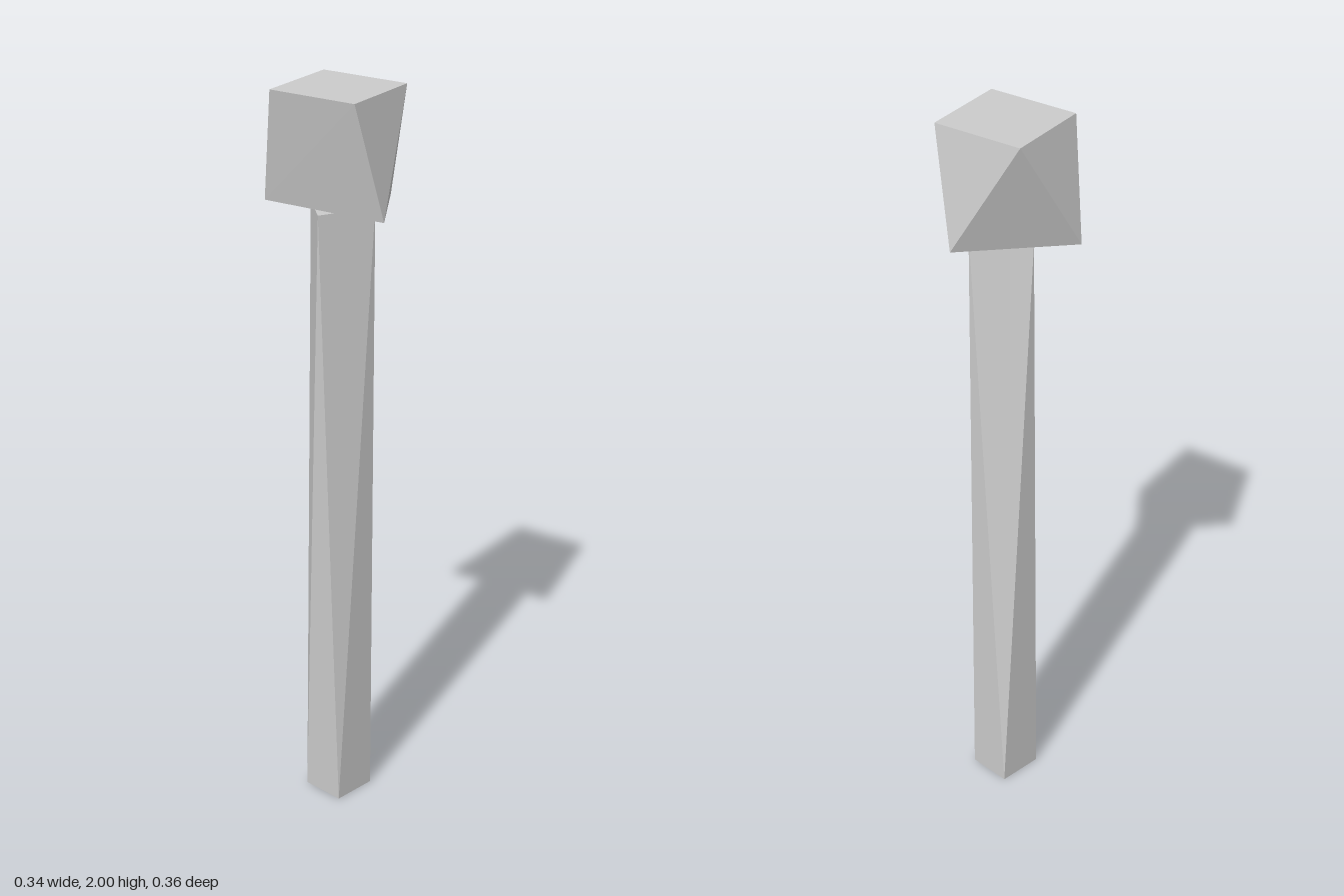
import * as THREE from 'three';
import { ConvexGeometry } from 'three/addons/geometries/ConvexGeometry.js';

// Faceted solid spanning a lower and an upper ring of [x, z] corners
function facetedBlock(name, y0, lower, y1, upper) {
  const ring = (y, corners) => corners.map(([x, z]) => new THREE.Vector3(x, y, z));
  const mesh = new THREE.Mesh(
    new ConvexGeometry([...ring(y0, lower), ...ring(y1, upper)]),
    new THREE.MeshStandardMaterial({ color: 0xcccccc, flatShading: true })
  );
  mesh.name = name;
  return mesh;
}

export function createModel() {
  const model = new THREE.Group();
  model.name = 'post';

  // Slender shaft: twisted square foot, triangular top
  model.add(facetedBlock('shaft',
    0, [[0.08, 0.035], [-0.04, 0.083], [-0.083, -0.035], [0.038, -0.081]],
    1.69, [[0.08, 0.045], [-0.083, 0.051], [-0.043, -0.081]]));

  // Wider head: triangular underside, twisted square top
  model.add(facetedBlock('head',
    1.69, [[-0.148, -0.135], [0.168, -0.045], [0.04, 0.178]],
    2, [[0.04, -0.18], [0.168, 0.042], [-0.042, 0.178], [-0.17, -0.045]]));

  return model;
}
